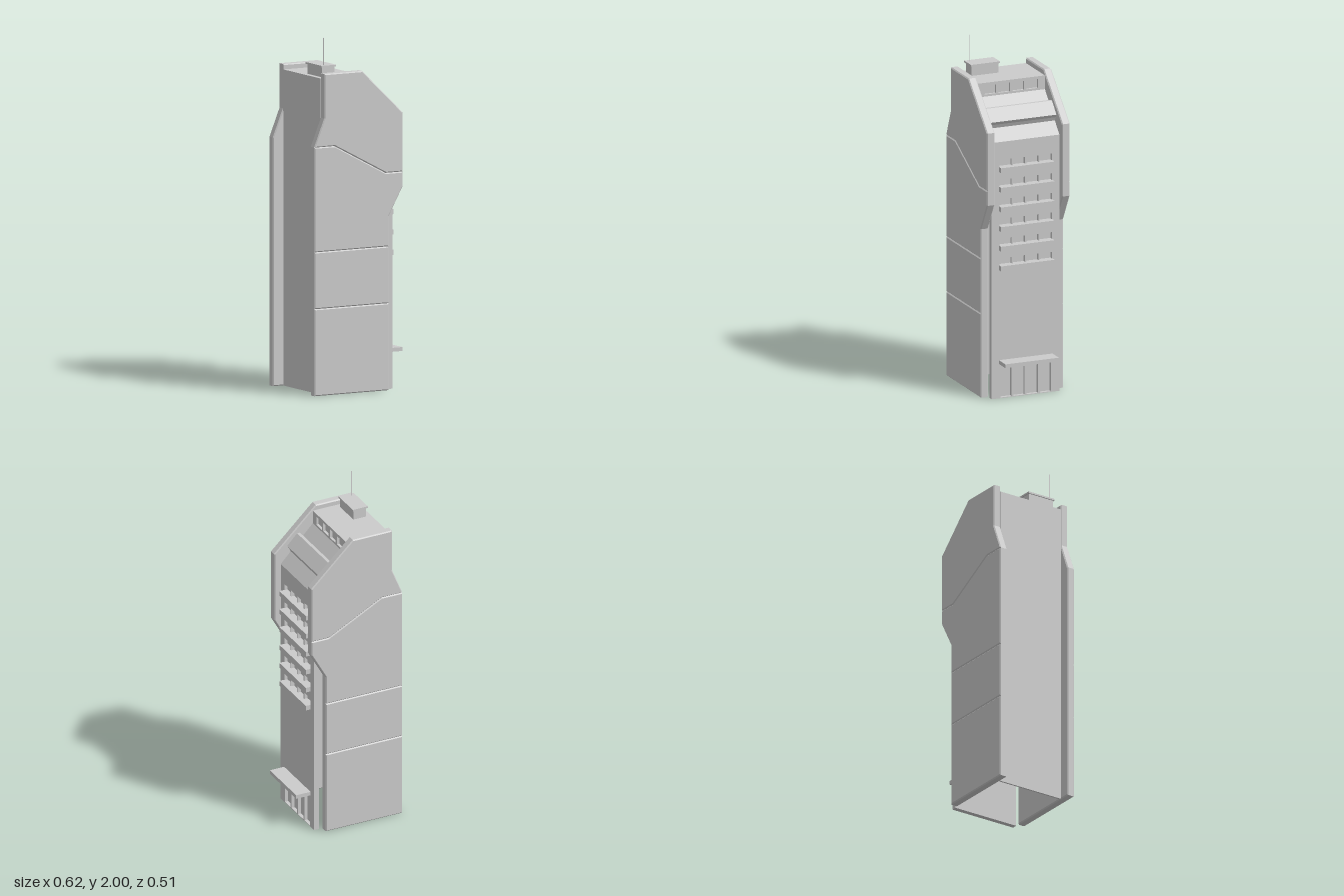
import * as THREE from 'three';

const grey = new THREE.MeshStandardMaterial({ color: 0xcccccc, flatShading: true });

const toShape = (pts) => new THREE.Shape(pts.map(([x, y]) => new THREE.Vector2(x, y)));
const rect = (x0, y0, x1, y1) => [[x0, y0], [x1, y0], [x1, y1], [x0, y1]];

// Extrude an x-y outline from z0 to z1, optionally with chamfered rims
function slab(pts, z0, z1, bevel = 0) {
  const geo = new THREE.ExtrudeGeometry(toShape(pts), {
    depth: z1 - z0 - 2 * bevel,
    bevelEnabled: bevel > 0, bevelThickness: bevel, bevelSize: bevel, bevelOffset: -bevel, bevelSegments: 1,
  });
  return geo.translate(0, 0, z0 + bevel);
}

// Upright wall facing +x, pierced by rectangular openings
function piercedWall(halfWidth, y0, y1, x0, x1, openings) {
  const shape = toShape(rect(-halfWidth, y0, halfWidth, y1));
  openings.forEach((o) => shape.holes.push(toShape(o)));
  const geo = new THREE.ExtrudeGeometry(shape, { depth: x1 - x0, bevelEnabled: false });
  return geo.rotateY(Math.PI / 2).translate(x0, 0, 0);
}

// Row of four equal openings separated by mullions
function bays(halfWidth, y0, y1, mullion) {
  const step = (2 * halfWidth) / 4;
  return [0, 1, 2, 3].map((i) => {
    const a = -halfWidth + i * step;
    return rect(a + mullion / 2, y0, a + step - mullion / 2, y1);
  });
}

function box(x0, x1, y0, y1, z0, z1) {
  return new THREE.BoxGeometry(x1 - x0, y1 - y0, z1 - z0)
    .translate((x0 + x1) / 2, (y0 + y1) / 2, (z0 + z1) / 2);
}

export function createModel() {
  const model = new THREE.Group();
  model.name = 'tower';
  const add = (name, geo, parent = model) => {
    const mesh = new THREE.Mesh(geo, grey);
    mesh.name = name;
    parent.add(mesh);
  };

  // Side slabs: a full backing plate plus four chamfered panels that leave grooves between them
  const plate = [[-0.31, 0], [0.17, 0], [0.17, 0.98], [0.26, 1.14], [0.26, 1.56],
    [0, 1.81], [-0.245, 1.81], [-0.245, 1.56], [-0.31, 1.4]];
  const panels = [
    rect(-0.31, 0, 0.17, 0.49),
    rect(-0.31, 0.49, 0.17, 0.81),
    [[-0.31, 0.81], [0.17, 0.81], [0.17, 0.98], [0.26, 1.14], [0.26, 1.225],
      [0.15, 1.225], [-0.18, 1.4], [-0.31, 1.4]],
    [[-0.31, 1.4], [-0.18, 1.4], [0.15, 1.225], [0.26, 1.225], [0.26, 1.56],
      [0, 1.81], [-0.245, 1.81], [-0.245, 1.56]],
  ];
  for (const s of [1, -1]) {
    const side = new THREE.Group();
    side.name = s > 0 ? 'frontSlab' : 'backSlab';
    const span = (a, b) => (s > 0 ? [a, b] : [-b, -a]);
    add('backingPlate', slab(plate, ...span(0.205, 0.247), 0.006), side);
    panels.forEach((p, i) => add('slabPanel' + (i + 1), slab(p, ...span(0.235, 0.253), 0.006), side));
    model.add(side);
  }

  // Hollow core, open at the bottom, with a stepped sloping roof
  const shell = [[-0.245, 0], [-0.235, 0], [-0.235, 1.77], [-0.005, 1.77], [-0.005, 1.69],
    [0.19, 1.49], [0.19, 0], [0.2, 0], [0.2, 1.49], [0.22, 1.49],
    [0.02, 1.7], [0.005, 1.7], [0.005, 1.78], [-0.245, 1.78]];
  add('coreShell', slab(shell, -0.207, 0.207));

  // Window wall with six rows of windows and the entrance
  const rows = Array.from({ length: 6 }, (_, i) => 0.746 + i * 0.1142);
  const openings = rows.flatMap((y) => bays(0.163, y + 0.029, y + 0.068, 0.007));
  add('windowWall', piercedWall(0.207, 0, 1.49, 0.2, 0.22,
    [...openings, ...bays(0.16, 0.004, 0.2, 0.012)]));
  rows.forEach((y, i) => add('windowLedge' + (i + 1), box(0.21, 0.25, y, y + 0.029, -0.163, 0.163)));
  add('entranceCanopy', box(0.21, 0.31, 0.2, 0.222, -0.163, 0.163));

  // Clerestory windows under the roof edge, and the raised panel on the slope
  add('clerestory', piercedWall(0.207, 1.7, 1.78, 0.005, 0.02, bays(0.17, 1.712, 1.764, 0.016)));
  add('slopePanel', slab([[0.1, 1.6], [0.155, 1.55], [0.168, 1.577], [0.18, 1.595],
    [0.118, 1.66], [0.1, 1.66]], -0.206, 0.206));

  // Rooftop hut and aerial
  add('roofHut', box(-0.215, -0.135, 1.775, 1.838, 0.01, 0.173));
  add('roofHutCap', box(-0.222, -0.128, 1.836, 1.846, 0.003, 0.18));
  add('aerial', box(-0.2, -0.196, 1.84, 2, 0.158, 0.162));

  return model;
}
